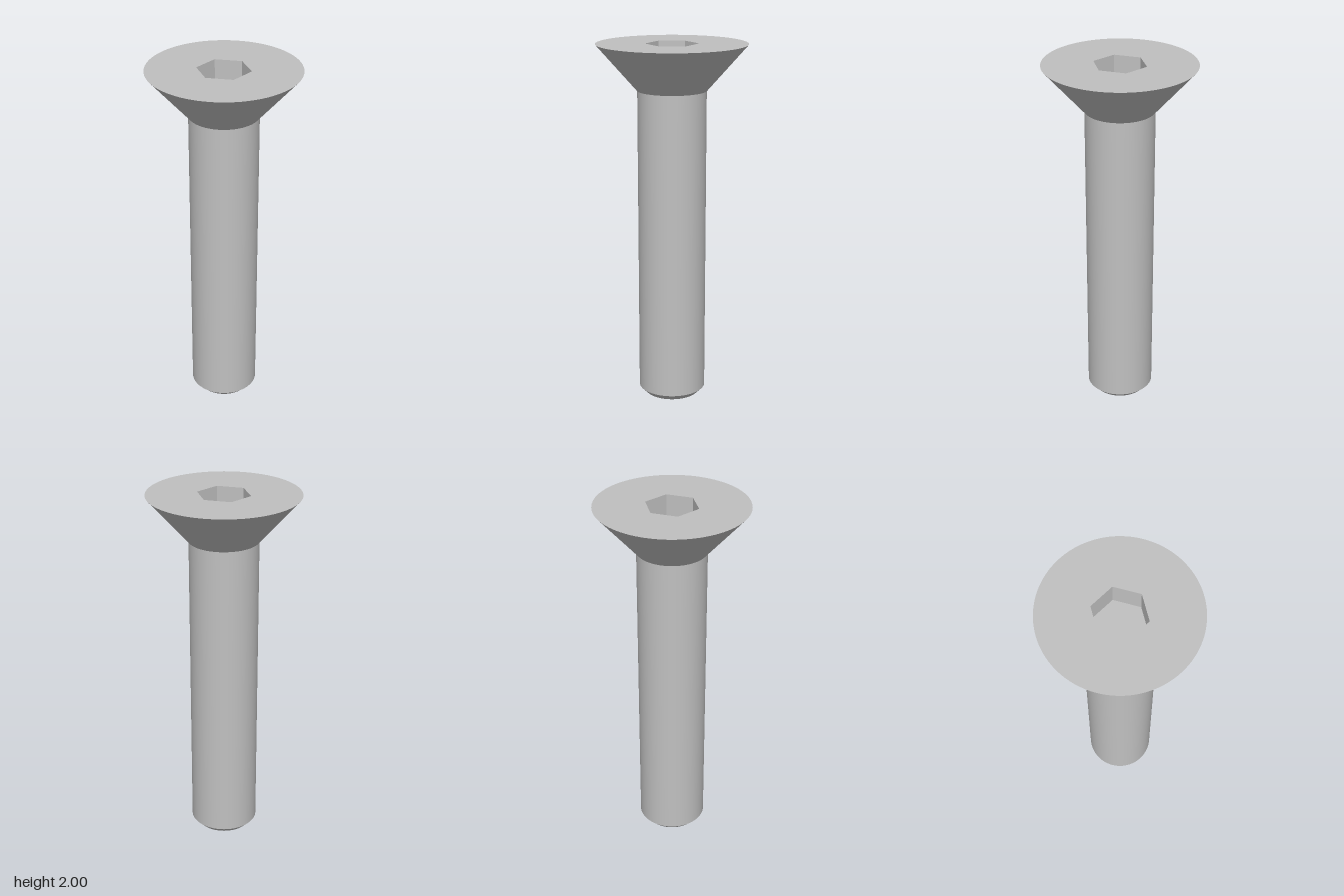
import * as THREE from 'three';
import { mergeGeometries } from 'three/addons/utils/BufferGeometryUtils.js';

const SIDES = 96;
const HEAD_R = 0.41, NECK_R = 0.19, SHANK_R = 0.1875, TIP_R = 0.153;
const TOP = 2, NECK_Y = 1.75, CHAMFER_Y = 0.035;
const HEX_R = 0.145, HEX_DEPTH = 0.15;

// Revolves each profile step separately, so edges between steps stay sharp
function turned(profile) {
  const bands = [];
  for (let i = 0; i < profile.length - 1; i++) {
    const pair = [profile[i], profile[i + 1]].map(([r, y]) => new THREE.Vector2(r, y));
    bands.push(new THREE.LatheGeometry(pair, SIDES));
  }
  return mergeGeometries(bands);
}

// Points of a regular polygon, starting on the +x axis
function polygon(radius, sides) {
  return Array.from({ length: sides }, (_, i) => {
    const a = (i / sides) * Math.PI * 2;
    return new THREE.Vector2(radius * Math.cos(a), radius * Math.sin(a));
  });
}

export function createModel() {
  const model = new THREE.Group();
  model.name = 'countersunkScrew';
  const steel = new THREE.MeshStandardMaterial({ color: 0xc0c0c0 });
  steel.name = 'steel';

  const add = (name, geometry) => {
    const mesh = new THREE.Mesh(geometry, steel);
    mesh.name = name;
    model.add(mesh);
  };

  // Plain shank with a chamfered tip
  add('shank', turned([[0, 0], [TIP_R, 0], [SHANK_R, CHAMFER_Y], [SHANK_R, NECK_Y]]));

  // Conical underside of the head
  add('headCone', turned([[SHANK_R, NECK_Y], [NECK_R, NECK_Y], [HEAD_R, TOP]]));

  // Flat top of the head with a hexagonal opening
  const face = new THREE.Shape(polygon(HEAD_R, SIDES));
  face.holes.push(new THREE.Path(polygon(HEX_R, 6).reverse()));
  add('headTop', new THREE.ShapeGeometry(face).rotateX(-Math.PI / 2).translate(0, TOP, 0));

  // Inward-facing socket walls and floor
  const wall = [[HEX_R, TOP], [HEX_R, TOP - HEX_DEPTH], [0, TOP - HEX_DEPTH]];
  const socket = new THREE.LatheGeometry(
    wall.map(([r, y]) => new THREE.Vector2(r, y)), 6, Math.PI / 2
  ).toNonIndexed();
  socket.computeVertexNormals();
  add('hexSocket', socket);

  return model;
}
